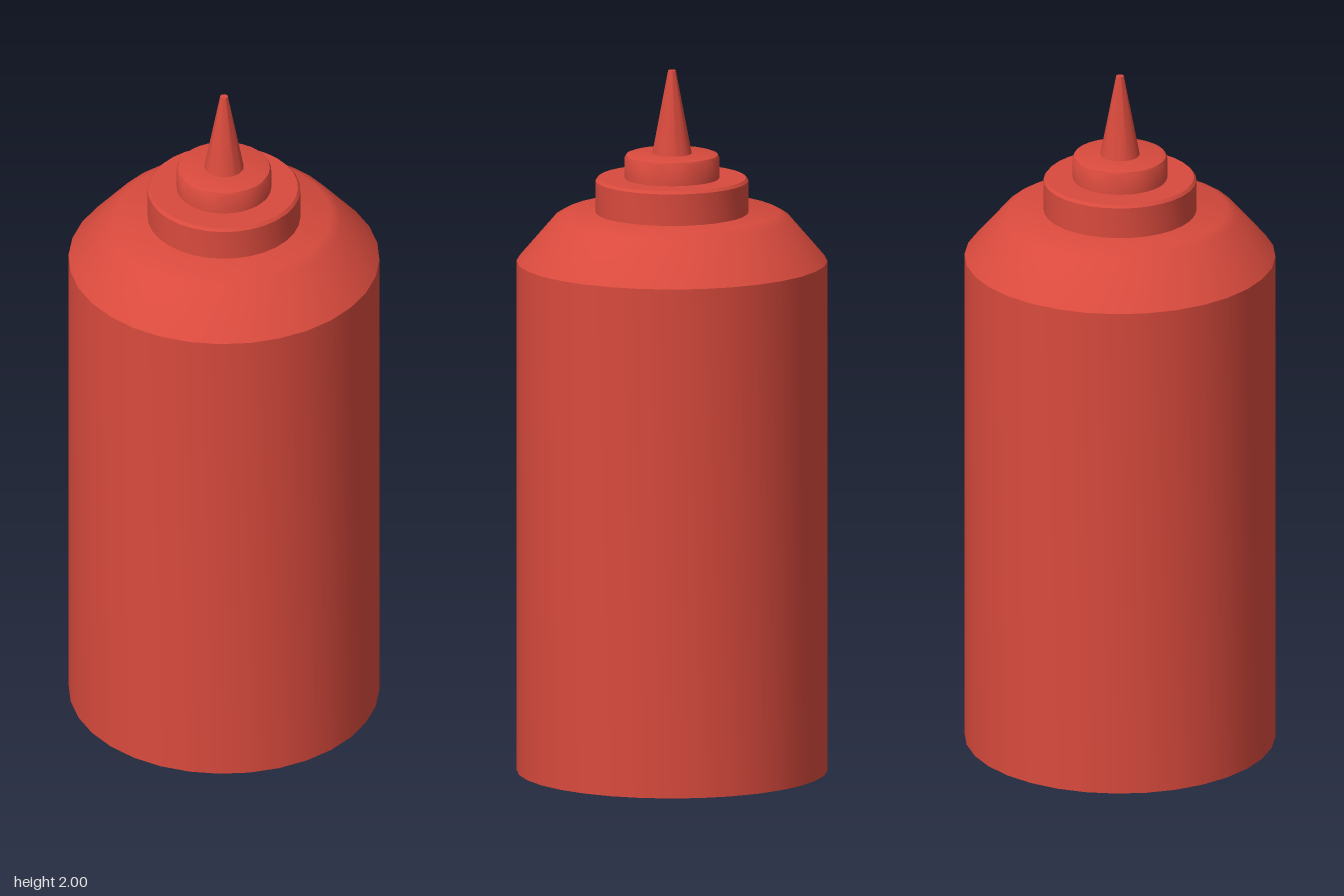
import * as THREE from 'three';
import { toCreasedNormals } from 'three/addons/utils/BufferGeometryUtils.js';

const SIDES = 32;

export function createModel() {
  const model = new THREE.Group();
  model.name = 'squeezeBottle';
  const red = new THREE.MeshStandardMaterial({ color: 0xd94a3d });

  // Turned part from [radius, height] pairs, listed from bottom to top
  function turned(name, profile) {
    const points = profile.map(([r, y]) => new THREE.Vector2(r, y));
    const lathe = new THREE.LatheGeometry(points, SIDES, Math.PI / SIDES);
    const mesh = new THREE.Mesh(toCreasedNormals(lathe, 0.6), red);
    mesh.name = name;
    model.add(mesh);
  }

  // Body with a shallow recessed base, straight wall and sloped shoulder
  turned('body', [
    [0, 0.015], [0.39, 0.015], [0.395, 0], [0.437, 0],
    [0.437, 1.455], [0.33, 1.58], [0.302, 1.595], [0, 1.595],
  ]);

  // Wide screw cap with a fine chamfer
  turned('cap', [
    [0.215, 1.59], [0.215, 1.685], [0.208, 1.693], [0, 1.693],
  ]);

  // Smaller collar with a softened top edge
  turned('collar', [
    [0.133, 1.69], [0.133, 1.752], [0.129, 1.759], [0.117, 1.763], [0, 1.763],
  ]);

  // Tapered nozzle with a blunt tip
  turned('nozzle', [
    [0.056, 1.76], [0.011, 2], [0, 2],
  ]);

  return model;
}
